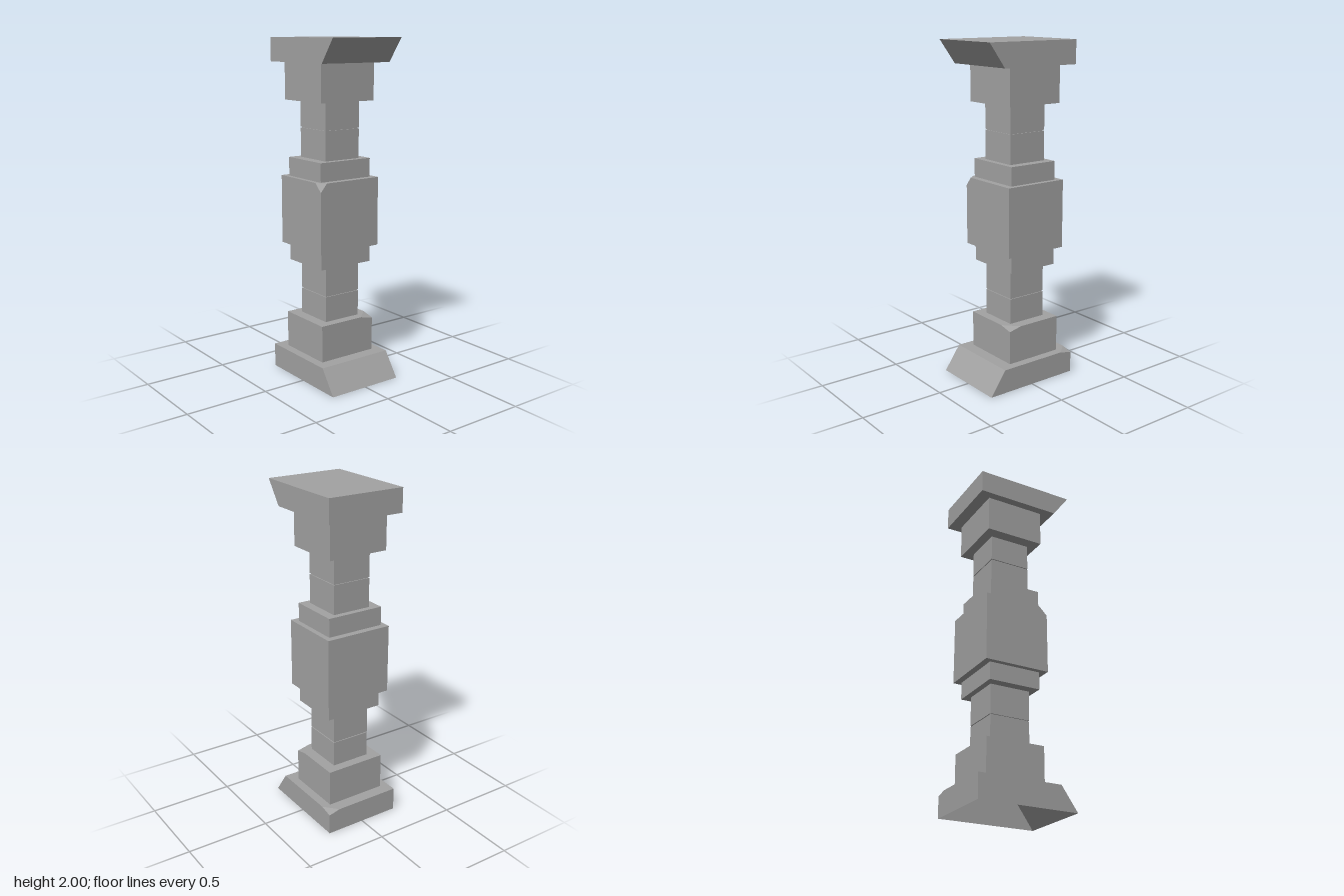
import * as THREE from 'three';
import { ConvexGeometry } from 'three/addons/geometries/ConvexGeometry.js';

const stone = new THREE.MeshStandardMaterial({ color: 0xa2a2a2, side: THREE.DoubleSide });
stone.name = 'grey stone';

// Block between x0..x1, y0..y1, z0..z1. frontLow / frontHigh override z1 at the bottom / top.
// chip = { x, z, d: [dx, dy, dz] } cuts the top corner on that side.
function block({ x, y, z, frontLow = z[1], frontHigh = z[1], chip, open }) {
  const points = [];
  for (const sx of [-1, 1]) for (const sy of [-1, 1]) for (const sz of [-1, 1]) {
    const front = sy < 0 ? frontLow : frontHigh;
    const p = new THREE.Vector3(x[sx < 0 ? 0 : 1], y[sy < 0 ? 0 : 1], sz < 0 ? z[0] : front);
    if (chip && sy > 0 && sx === chip.x && sz === chip.z) {
      const [dx, dy, dz] = chip.d;
      points.push(
        p.clone().setX(p.x - sx * dx),
        p.clone().setY(p.y - dy),
        p.clone().setZ(p.z - sz * dz));
    } else points.push(p);
  }
  const geometry = new ConvexGeometry(points);
  if (!open) return geometry;

  // Drop the underside to leave a hollow shell
  const pos = geometry.getAttribute('position');
  const kept = [];
  for (let i = 0; i < pos.count; i += 3) {
    const corners = [i, i + 1, i + 2];
    if (corners.every((c) => Math.abs(pos.getY(c) - y[0]) < 1e-5)) continue;
    for (const c of corners) kept.push(pos.getX(c), pos.getY(c), pos.getZ(c));
  }
  const shell = new THREE.BufferGeometry();
  shell.setAttribute('position', new THREE.Float32BufferAttribute(kept, 3));
  shell.computeVertexNormals();
  return shell;
}

export function createModel() {
  const pillar = new THREE.Group();
  pillar.name = 'pillar';
  const add = (name, spec) => {
    const mesh = new THREE.Mesh(block(spec), stone);
    mesh.name = name;
    pillar.add(mesh);
  };

  // Hollow foot and solid cap, both with a slanted front
  add('foot', {
    x: [-0.237, 0.235], y: [0, 0.142], z: [-0.3, 0.3], frontHigh: 0.2, open: true,
    chip: { x: 1, z: -1, d: [0.07, 0.018, 0.08] },
  });
  add('cap', { x: [-0.237, 0.235], y: [1.862, 2], z: [-0.3, 0.3], frontLow: 0.2 });

  // Square pedestals next to the foot and cap
  add('lowerPedestal', {
    x: [-0.186, 0.184], y: [0.138, 0.36], z: [-0.228, 0.127],
    chip: { x: 1, z: 1, d: [0.085, 0.018, 0.08] },
  });
  add('upperPedestal', { x: [-0.189, 0.182], y: [1.645, 1.866], z: [-0.228, 0.127] });

  // Shafts: two stacked stones with a thin recessed joint
  for (const [name, y0, joint, y1] of [
    ['lowerShaft', 0.36, 0.515, 0.692],
    ['upperShaft', 1.312, 1.487, 1.645],
  ]) {
    const side = { x: [-0.12, 0.118], z: [-0.171, 0.073] };
    add(name + 'BottomStone', { ...side, y: [y0, joint - 0.003] });
    add(name + 'TopStone', { ...side, y: [joint + 0.003, y1] });
    add(name + 'Joint', { x: [-0.114, 0.112], z: [-0.165, 0.067], y: [joint - 0.01, joint + 0.01] });
  }

  // Middle block between two collars
  add('lowerCollar', { x: [-0.177, 0.175], y: [0.692, 0.797], z: [-0.206, 0.109] });
  add('upperCollar', { x: [-0.18, 0.172], y: [1.2, 1.312], z: [-0.206, 0.109] });
  add('middleBlock', {
    x: [-0.208, 0.203], y: [0.796, 1.202], z: [-0.245, 0.148],
    chip: { x: -1, z: 1, d: [0.042, 0.05, 0.05] },
  });

  return pillar;
}
